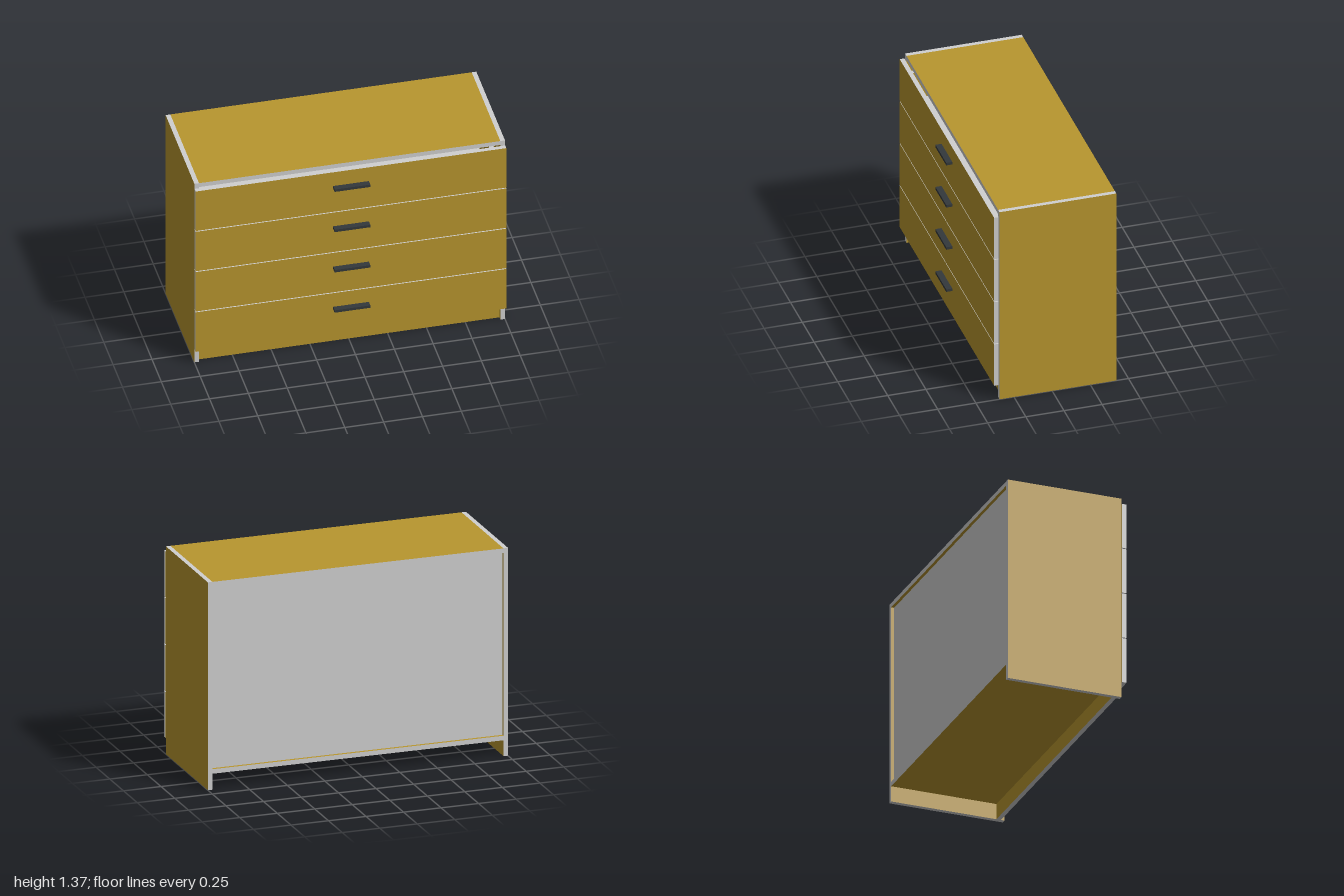
import * as THREE from 'three';

export function createModel() {
  const mat = (name, color) => {
    const m = new THREE.MeshStandardMaterial({ color });
    m.name = name;
    return m;
  };
  const wood = mat('wood', 0xb8962e);
  const edge = mat('paleEdge', 0xd0d0d0);
  const dark = mat('darkHandle', 0x33383b);

  const model = new THREE.Group();
  model.name = 'chestOfDrawers';

  const box = (parent, name, material, [x0, x1], [y0, y1], [z0, z1]) => {
    const mesh = new THREE.Mesh(new THREE.BoxGeometry(x1 - x0, y1 - y0, z1 - z0), material);
    mesh.position.set((x0 + x1) / 2, (y0 + y1) / 2, (z0 + z1) / 2);
    mesh.name = name;
    parent.add(mesh);
  };

  // Board with wooden faces across its thin axis and pale cut edges
  const board = (parent, name, x, y, z) => {
    const size = [x, y, z].map(([a, b]) => b - a);
    const thin = size.indexOf(Math.min(...size));
    const faces = [0, 0, 1, 1, 2, 2].map((axis) => (axis === thin ? wood : edge));
    box(parent, name, faces, x, y, z);
  };

  const T = 0.03;
  const H = 1.37;
  const back = -0.42;
  const front = 0.345;
  const inner = [-1 + T, 1 - T];

  // Carcass
  board(model, 'leftSide', [1 - T, 1], [0, H], [back, front]);
  board(model, 'rightSide', [-1, -1 + T], [0, H], [back, front]);
  board(model, 'topBoard', inner, [H - T, H], [back, front]);
  board(model, 'bottomBoard', inner, [0.105, 0.135], [back, front]);
  board(model, 'plinth', inner, [0, 0.105], [0.29, 0.32]);
  box(model, 'backPanel', edge, inner, [0.135, H - T], [-0.4, -0.39]);

  // Four drawers: front, hidden tray and handle
  for (let i = 0; i < 4; i++) {
    const drawer = new THREE.Group();
    drawer.name = `drawer${i + 1}`;
    const y = 0.105 + i * 0.309;
    board(drawer, 'drawerFront', [-1, 1], [y, y + 0.303], [0.35, 0.38]);

    const trayY = [y + 0.035, y + 0.235];
    for (const s of [-1, 1]) {
      board(drawer, 'traySide', s < 0 ? [-0.95, -0.92] : [0.92, 0.95], trayY, [-0.36, 0.35]);
    }
    board(drawer, 'trayBack', [-0.92, 0.92], trayY, [-0.36, -0.33]);
    board(drawer, 'trayFront', [-0.92, 0.92], trayY, [0.32, 0.35]);
    box(drawer, 'trayBottom', edge, [-0.92, 0.92], [y + 0.04, y + 0.05], [-0.33, 0.32]);

    box(drawer, 'handle', dark, [-0.115, 0.115], [y + 0.18, y + 0.198], [0.38, 0.42]);
    model.add(drawer);
  }
  return model;
}
